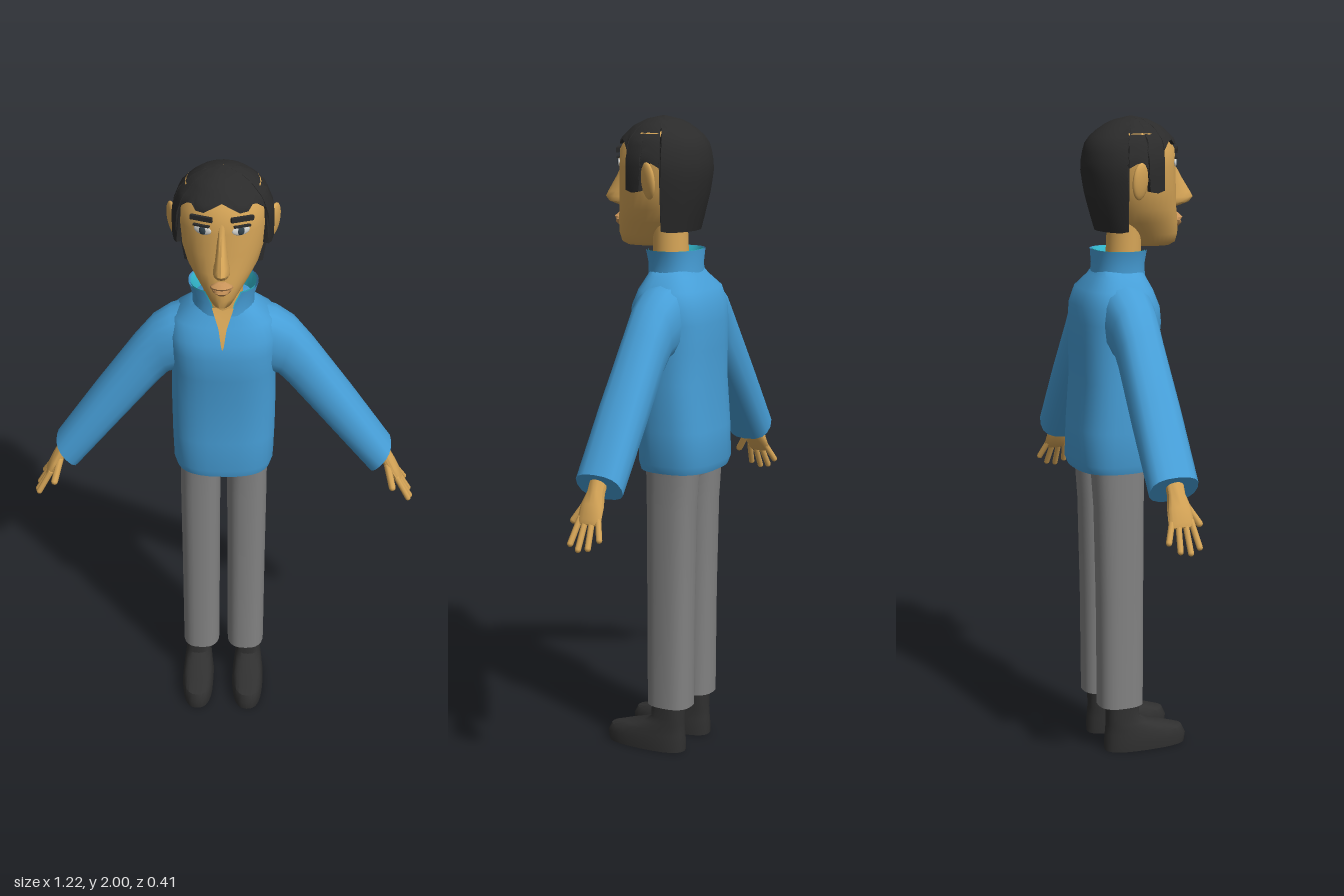
import * as THREE from 'three';
import { toCreasedNormals } from 'three/addons/utils/BufferGeometryUtils.js';

const mat = (name, color, side = THREE.FrontSide) => {
  const m = new THREE.MeshStandardMaterial({ color, side });
  m.name = name;
  return m;
};
const M = {
  blue: mat('sweaterBlue', 0x479fd8, THREE.DoubleSide),
  lining: mat('collarLining', 0x35c0d6, THREE.DoubleSide),
  grey: mat('trouserGrey', 0x828282),
  skin: mat('skin', 0xd6a557, THREE.DoubleSide),
  hair: mat('hairBlack', 0x2b2b2b, THREE.DoubleSide),
  shoe: mat('shoeBlack', 0x303030),
  white: mat('eyeWhite', 0xd8d8d4),
  iris: mat('irisDark', 0x33424c),
  lip: mat('lipTan', 0xc9945a),
};

function add(parent, name, geo, material) {
  const m = new THREE.Mesh(geo, material);
  m.name = name;
  parent.add(m);
  return m;
}

// Point on a super-ellipse section [y, halfWidth, zFront, zBack]; angle 0 is the front
function pt([y, hx, zf, zb], a, e = 2, cx = 0) {
  const p = (v) => Math.sign(v) * Math.abs(v) ** (2 / e);
  return new THREE.Vector3(cx + hx * p(Math.sin(a)), y, (zf + zb) / 2 + (zf - zb) / 2 * p(Math.cos(a)));
}

// Skin a list of point rings; flips itself so that faces point outward
function skin(rings, { closed = true, caps = true, crease = 0.8 } = {}) {
  const n = rings[0].length, pts = rings.flat(), idx = [];
  for (let r = 0; r < rings.length - 1; r++) {
    for (let i = 0; i < (closed ? n : n - 1); i++) {
      const j = (i + 1) % n, a = r * n + i, b = r * n + j;
      idx.push(a, b, b + n, a, b + n, a + n);
    }
  }
  if (caps) {
    for (const [r, flip] of [[0, true], [rings.length - 1, false]]) {
      const c = pts.length;
      pts.push(rings[r].reduce((s, p) => s.add(p), new THREE.Vector3()).divideScalar(n));
      for (let i = 0; i < n; i++) {
        const a = r * n + i, b = r * n + (i + 1) % n;
        idx.push(...(flip ? [b, a, c] : [a, b, c]));
      }
    }
  }
  const mid = pts.reduce((s, p) => s.add(p), new THREE.Vector3()).divideScalar(pts.length);
  const v = (k) => pts[idx[k]].clone().sub(mid);
  let vol = 0;
  for (let k = 0; k < idx.length; k += 3) vol += v(k).dot(v(k + 1).cross(v(k + 2)));
  if (vol < 0) idx.reverse();
  const g = new THREE.BufferGeometry().setFromPoints(pts);
  g.setIndex(idx);
  return toCreasedNormals(g, crease);
}

// Loft of horizontal sections
function loft(table, { e = 2, cx = 0, n = 24, crease = 0.8 } = {}) {
  return skin(table.map((s) => Array.from({ length: n }, (_, i) => pt(s, i / n * Math.PI * 2, e, cx))), { crease });
}

// Linear lookup in a table sorted by descending first value
function lookup(table, y) {
  let i = 0;
  while (i < table.length - 2 && y < table[i + 1][0]) i++;
  const a = table[i], b = table[i + 1], t = THREE.MathUtils.clamp((y - a[0]) / (b[0] - a[0]), 0, 1);
  return a.map((v, k) => (k ? v + (b[k] - v) * t : y));
}

function buildHead(root) {
  const head = new THREE.Group();
  head.name = 'head';
  root.add(head);
  add(head, 'face', loft([
    [1.603, 0.02, 0.125, 0.03], [1.613, 0.034, 0.145, 0.01], [1.64, 0.052, 0.152, -0.02], [1.68, 0.08, 0.15, -0.065],
    [1.72, 0.104, 0.143, -0.09], [1.78, 0.122, 0.139, -0.11], [1.85, 0.131, 0.136, -0.12], [1.9, 0.13, 0.134, -0.125],
    [1.95, 0.108, 0.105, -0.11], [1.98, 0.06, 0.06, -0.06]], { n: 32 }), M.skin);
  add(head, 'neck', loft([[1.47, 0.06, 0.03, -0.085], [1.68, 0.057, 0.03, -0.075]]), M.skin);
  add(head, 'nose', loft([[1.722, 0.014, 0.15, 0.1], [1.735, 0.025, 0.192, 0.1], [1.75, 0.024, 0.205, 0.1],
    [1.765, 0.02, 0.197, 0.1], [1.81, 0.015, 0.168, 0.1], [1.85, 0.012, 0.145, 0.1], [1.885, 0.014, 0.134, 0.1]], { n: 14 }), M.skin);
  add(head, 'upperLip', loft([[1.683, 0.034, 0.163, 0.12], [1.69, 0.032, 0.168, 0.12], [1.703, 0.012, 0.156, 0.12]], { n: 16 }), M.lip);
  add(head, 'lowerLip', loft([[1.66, 0.014, 0.155, 0.12], [1.672, 0.026, 0.166, 0.12], [1.681, 0.032, 0.162, 0.12]], { n: 16 }), M.lip);

  for (const s of [1, -1]) {
    const disc = (name, m, x, y, z, w, h, d, yaw) => {
      const o = add(head, name, new THREE.SphereGeometry(1, 18, 12), m);
      o.position.set(s * x, y, z);
      o.scale.set(w, h, d);
      o.rotation.y = s * yaw;
      return o;
    };
    disc('eye', M.white, 0.054, 1.86, 0.123, 0.027, 0.015, 0.006, 0.4);
    disc('iris', M.iris, 0.054, 1.86, 0.1255, 0.012, 0.0135, 0.006, 0.4);
    disc('ear', M.skin, 0.146, 1.812, -0.026, 0.013, 0.056, 0.033, -0.5).rotation.z = -s * 0.1;
    for (const [name, y, w, h] of [['eyebrow', 1.898, 0.068, 0.014], ['eyelid', 1.875, 0.05, 0.005]]) {
      const b = add(head, name, new THREE.BoxGeometry(w, h, 0.009), M.hair);
      b.position.set(s * 0.058, y, 0.125);
      b.rotation.set(0, s * 0.42, -s * 0.05);
    }
  }

  // Hair cap: every column runs from the crown down to a hairline height set by its angle
  const shape = [[2, 0.001, 0.001, -0.001], [1.99, 0.05, 0.05, -0.05], [1.97, 0.088, 0.092, -0.092], [1.93, 0.126, 0.134, -0.14],
    [1.88, 0.145, 0.142, -0.153], [1.84, 0.149, 0.14, -0.155], [1.78, 0.147, 0.14, -0.146], [1.72, 0.136, 0.11, -0.13], [1.655, 0.125, 0.08, -0.11]];
  const line = [[0, 1.942], [0.2, 1.932], [0.4, 1.915], [0.6, 1.915], [0.75, 1.93], [0.9, 1.925], [1.1, 1.9], [1.12, 1.782],
    [1.3, 1.775], [1.5, 1.78], [1.54, 1.85], [1.75, 1.865], [1.93, 1.85], [1.97, 1.66], [2.2, 1.655], [2.5, 1.655], [2.8, 1.655]];
  const cols = [...line, [Math.PI, 1.655], ...line.slice(1).reverse().map(([a, y]) => [Math.PI * 2 - a, y])];
  const rows = Array.from({ length: 15 }, (_, r) => cols.map(([a, low]) =>
    pt(lookup(shape, 2 - (2 - low) * (r / 14) ** 1.7), a)));
  rows.push(rows[14].map((p) => new THREE.Vector3(p.x * 0.84, p.y, p.z * 0.84)));
  add(head, 'hair', skin(rows, { caps: false }), M.hair);
}

function buildSweater(root) {
  const torso = [[1.545, 0.082, 0.022, -0.115], [1.52, 0.105, 0.03, -0.13], [1.48, 0.152, 0.048, -0.165], [1.43, 0.168, 0.068, -0.182],
    [1.38, 0.166, 0.074, -0.187], [1.3, 0.16, 0.066, -0.187], [1.2, 0.162, 0.05, -0.185], [1.05, 0.161, 0.046, -0.197],
    [0.945, 0.158, 0.048, -0.202], [0.92, 0.15, 0.042, -0.193]];
  add(root, 'sweaterBody', loft(torso, { e: 2.7, n: 32, crease: 0.9 }), M.blue);

  // Open neck slit
  const slit = [[1.54, 0.034], [1.52, 0.026], [1.48, 0.012], [1.43, 0.004], [1.42, 0.001]].map(([y, w]) =>
    [-1, 0, 1].map((k) => new THREE.Vector3(k * w, y, lookup(torso, y)[2] + 0.004)));
  add(root, 'neckSlit', skin(slit, { closed: false, caps: false }), M.skin);

  // Stand-up collar, open at the front
  const collar = (name, inset, m) => {
    const rings = [[1.515, 0.094, 0.036, -0.126, 0.22], [1.555, 0.093, 0.034, -0.122, 0.34], [1.598, 0.105, 0.04, -0.124, 0.5]]
      .map(([y, hx, zf, zb, gap]) => Array.from({ length: 29 }, (_, i) =>
        pt([y, hx - inset, zf - inset, zb + inset], gap + (Math.PI * 2 - gap * 2) * i / 28, 2.3)));
    add(root, name, skin(rings, { closed: false, caps: false }), m);
  };
  collar('collar', 0, M.blue);
  collar('collarLining', 0.006, M.lining);

  // Sleeves: [outer x, outer y, inner x, inner y, half depth]
  const sleeve = [[0.08, 1.515, 0.08, 1.3, 0.085], [0.16, 1.488, 0.14, 1.28, 0.08], [0.215, 1.45, 0.168, 1.27, 0.073],
    [0.275, 1.375, 0.2, 1.235, 0.07], [0.4, 1.195, 0.322, 1.085, 0.074], [0.532, 0.998, 0.463, 0.91, 0.075]];
  for (const s of [1, -1]) {
    const rings = sleeve.map(([ox, oy, ix, iy, d]) => Array.from({ length: 16 }, (_, i) => {
      const q = pt([0, 1, d, -d], i / 16 * Math.PI * 2, 2.5), t = (q.x + 1) / 2;
      return new THREE.Vector3(s * (ix + (ox - ix) * t), iy + (oy - iy) * t, q.z - 0.06);
    }));
    add(root, s > 0 ? 'leftSleeve' : 'rightSleeve', skin(rings), M.blue);
  }
}

function buildHand(root, s) {
  const hand = new THREE.Group();
  hand.name = s > 0 ? 'leftHand' : 'rightHand';
  hand.position.set(s * 0.502, 0.968, -0.06);
  hand.rotation.z = s * 0.51;
  root.add(hand);
  add(hand, 'palm', loft([[0.03, 0.022, 0.028, -0.028], [-0.03, 0.021, 0.027, -0.028], [-0.07, 0.019, 0.038, -0.037],
    [-0.115, 0.014, 0.038, -0.041], [-0.128, 0.009, 0.034, -0.037]], { n: 16 }), M.skin);
  const finger = (name, a, b, r) => {
    const from = new THREE.Vector3(...a), dir = new THREE.Vector3(...b).sub(from);
    const f = add(hand, name, new THREE.CapsuleGeometry(r, dir.length(), 4, 8), M.skin);
    f.position.copy(from).addScaledVector(dir, 0.5);
    f.quaternion.setFromUnitVectors(new THREE.Vector3(0, 1, 0), dir.normalize());
  };
  [[-0.03, -0.05, -0.168], [-0.01, -0.02, -0.197], [0.011, 0.011, -0.204], [0.03, 0.041, -0.19]].forEach(([z0, z1, y]) =>
    finger('finger', [0, -0.11, z0], [0, y, z1], 0.0095));
  finger('thumb', [-s * 0.006, -0.055, 0.024], [-s * 0.02, -0.115, 0.062], 0.011);
}

function buildLeg(root, s) {
  const side = s > 0 ? 'left' : 'right';
  add(root, side + 'TrouserLeg', loft([[0.15, 0.061, 0.005, -0.14], [0.5, 0.062, 0.006, -0.142], [0.8, 0.064, 0.007, -0.148],
    [0.94, 0.064, 0.01, -0.158]], { e: 2.6, cx: s * 0.075 }), M.grey);
  add(root, side + 'Shoe', loft([[0, 0.051, 0.148, -0.122], [0.03, 0.053, 0.152, -0.122], [0.055, 0.05, 0.14, -0.12],
    [0.072, 0.047, 0.085, -0.118], [0.09, 0.043, 0.02, -0.117], [0.11, 0.041, -0.008, -0.117], [0.17, 0.041, -0.012, -0.117]],
  { e: 2.5, cx: s * 0.085 }), M.shoe);
}

export function createModel() {
  const root = new THREE.Group();
  root.name = 'standingMan';
  buildHead(root);
  buildSweater(root);
  add(root, 'trouserSeat', loft([[0.895, 0.12, -0.01, -0.14], [0.96, 0.138, 0.01, -0.158]], { e: 2.8 }), M.grey);
  for (const s of [1, -1]) {
    buildHand(root, s);
    buildLeg(root, s);
  }
  return root;
}
